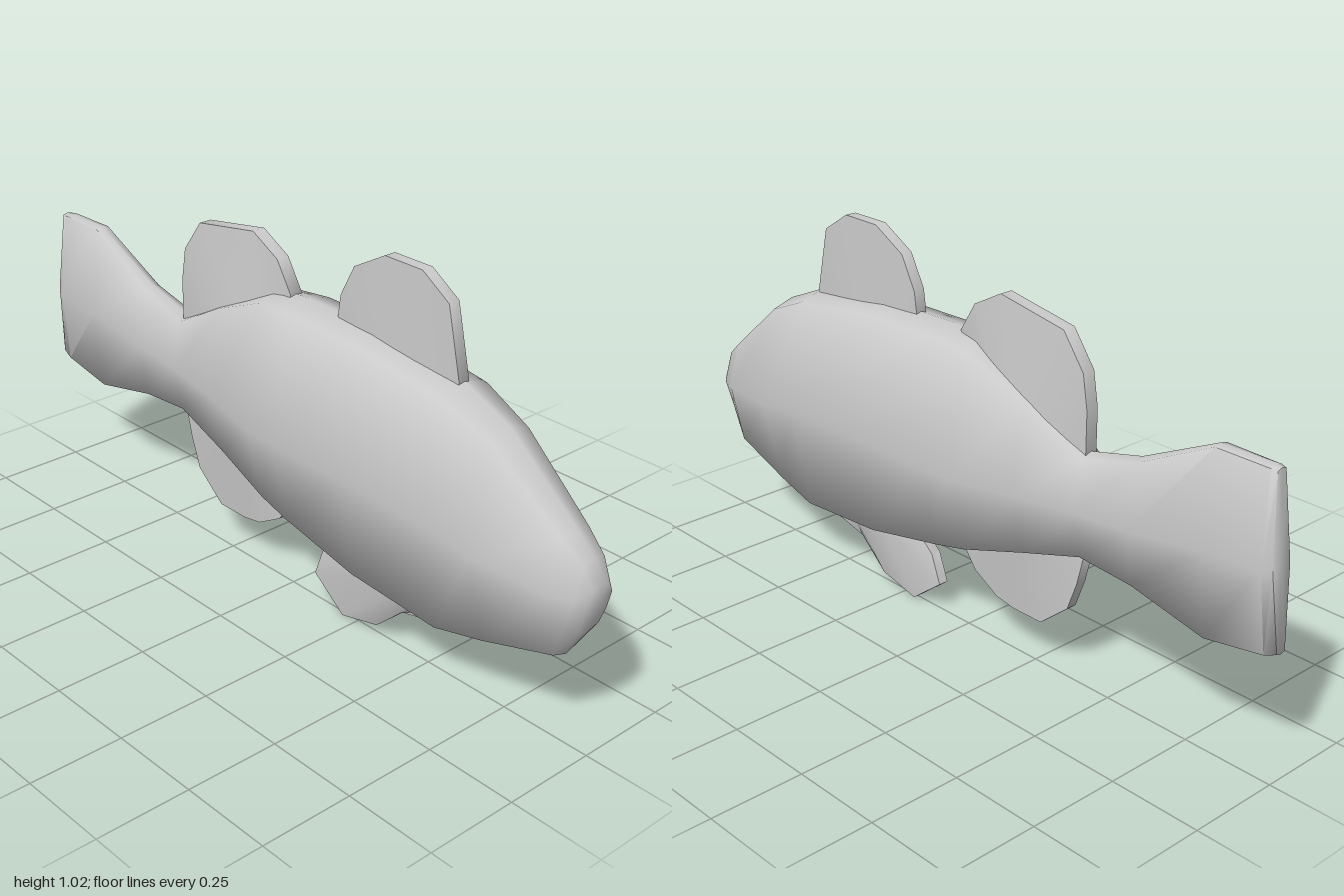
import * as THREE from 'three';
import { toCreasedNormals } from 'three/addons/utils/BufferGeometryUtils.js';

// Skin a list of closed rings (each an array of [x, y, z]) and cap both ends
function loft(rings) {
  const n = rings[0].length, pos = rings.flat(2), index = [];
  for (let r = 0; r < rings.length - 1; r++) {
    for (let i = 0; i < n; i++) {
      const a = r * n + i, b = r * n + (i + 1) % n;
      index.push(a, b, a + n, b, b + n, a + n);
    }
  }
  [0, rings.length - 1].forEach((r, end) => {
    const c = pos.length / 3;
    for (let k = 0; k < 3; k++) pos.push(rings[r].reduce((s, p) => s + p[k], 0) / n);
    for (let i = 0; i < n; i++) {
      const a = r * n + i, b = r * n + (i + 1) % n;
      if (end) index.push(c, a, b); else index.push(c, b, a);
    }
  });
  // Turn the faces outward if the enclosed volume is negative
  const v = i => new THREE.Vector3().fromArray(pos, i * 3);
  let volume = 0;
  for (let i = 0; i < index.length; i += 3) {
    volume += v(index[i]).dot(v(index[i + 1]).cross(v(index[i + 2])));
  }
  if (volume < 0) index.reverse();
  const g = new THREE.BufferGeometry();
  g.setAttribute('position', new THREE.Float32BufferAttribute(pos, 3));
  g.setIndex(index);
  return toCreasedNormals(g, 1.25);
}

// Eight-sided body section: ridge, shoulder, flank, belly edge, keel, mirrored
function section([z, top, mid, bottom, flank, edge, bevel, slant = 0]) {
  const half = [[edge, top - bevel], [flank, mid], [edge, bottom + bevel]];
  const zAt = y => z + slant * (y - mid);
  return [
    [0, top], ...half, [0, bottom], ...half.map(([x, y]) => [-x, y]).reverse(),
  ].map(([x, y]) => [x, y, zAt(y)]);
}

// Fin: a thin rim outline [z, y] joined to a thicker root line sunk in the body
function fin(outline, rootStart, rootEnd, rimWidth, rootWidth) {
  return loft(outline.map(([z, y], i) => {
    const t = i / (outline.length - 1);
    const rz = THREE.MathUtils.lerp(rootStart[0], rootEnd[0], t);
    const ry = THREE.MathUtils.lerp(rootStart[1], rootEnd[1], t);
    const w = rimWidth + (rootWidth - rimWidth) * Math.sin(Math.PI * t);
    return [[w, ry, rz], [rimWidth, y, z], [-rimWidth, y, z], [-w, ry, rz]];
  }));
}

export function createModel() {
  const group = new THREE.Group();
  const material = new THREE.MeshStandardMaterial({ color: 0xcccccc });
  const add = (name, geometry) => {
    const mesh = new THREE.Mesh(geometry, material);
    mesh.name = name;
    group.add(mesh);
  };

  // Body and tail: z, top, middle, bottom, flank and edge half-widths, bevel, slant
  add('bodyAndTail', loft([
    [1.0, 0.46, 0.43, 0.39, 0.04, 0.025, 0.005],
    [0.975, 0.52, 0.43, 0.33, 0.06, 0.035, 0.01],
    [0.92, 0.57, 0.43, 0.245, 0.08, 0.045, 0.015],
    [0.72, 0.735, 0.45, 0.187, 0.115, 0.06, 0.02],
    [0.58, 0.795, 0.47, 0.158, 0.12, 0.072, 0.022],
    [0.3, 0.832, 0.48, 0.18, 0.12, 0.075, 0.02],
    [0.05, 0.838, 0.48, 0.23, 0.12, 0.073, 0.02],
    [-0.05, 0.83, 0.48, 0.25, 0.117, 0.065, 0.02],
    [-0.24, 0.745, 0.49, 0.31, 0.078, 0.043, 0.015],
    [-0.42, 0.645, 0.5, 0.365, 0.053, 0.03, 0.012],
    [-0.58, 0.685, 0.51, 0.352, 0.048, 0.024, 0.01],
    [-0.8, 0.79, 0.54, 0.308, 0.043, 0.02, 0.005],
    [-0.96, 0.788, 0.55, 0.337, 0.039, 0.018, 0.004, 0.04],
    [-0.984, 0.786, 0.56, 0.35, 0.03, 0.014, 0.004, 0.08],
  ].map(section)));

  // Back fins
  add('frontDorsalFin', fin(
    [[0.575, 0.795], [0.535, 0.975], [0.45, 1.03], [0.33, 1.03], [0.23, 0.975],
      [0.185, 0.89], [0.175, 0.82]],
    [0.56, 0.76], [0.18, 0.8], 0.016, 0.024));
  add('rearDorsalFin', fin(
    [[0.01, 0.835], [-0.04, 0.915], [-0.13, 0.963], [-0.34, 0.928], [-0.405, 0.84],
      [-0.42, 0.75], [-0.42, 0.64]],
    [-0.01, 0.79], [-0.41, 0.6], 0.018, 0.042));

  // Belly fins
  add('pelvicFin', fin(
    [[0.6, 0.162], [0.42, 0.12], [0.33, 0.04], [0.205, 0.01], [0.1, 0.09],
      [0.13, 0.17], [0.185, 0.21]],
    [0.56, 0.19], [0.2, 0.23], 0.014, 0.04));
  add('analFin', fin(
    [[0.0, 0.242], [-0.04, 0.19], [-0.12, 0.145], [-0.18, 0.135], [-0.28, 0.135],
      [-0.37, 0.21], [-0.4, 0.29], [-0.42, 0.37]],
    [-0.01, 0.27], [-0.41, 0.4], 0.015, 0.035));

  return group;
}
